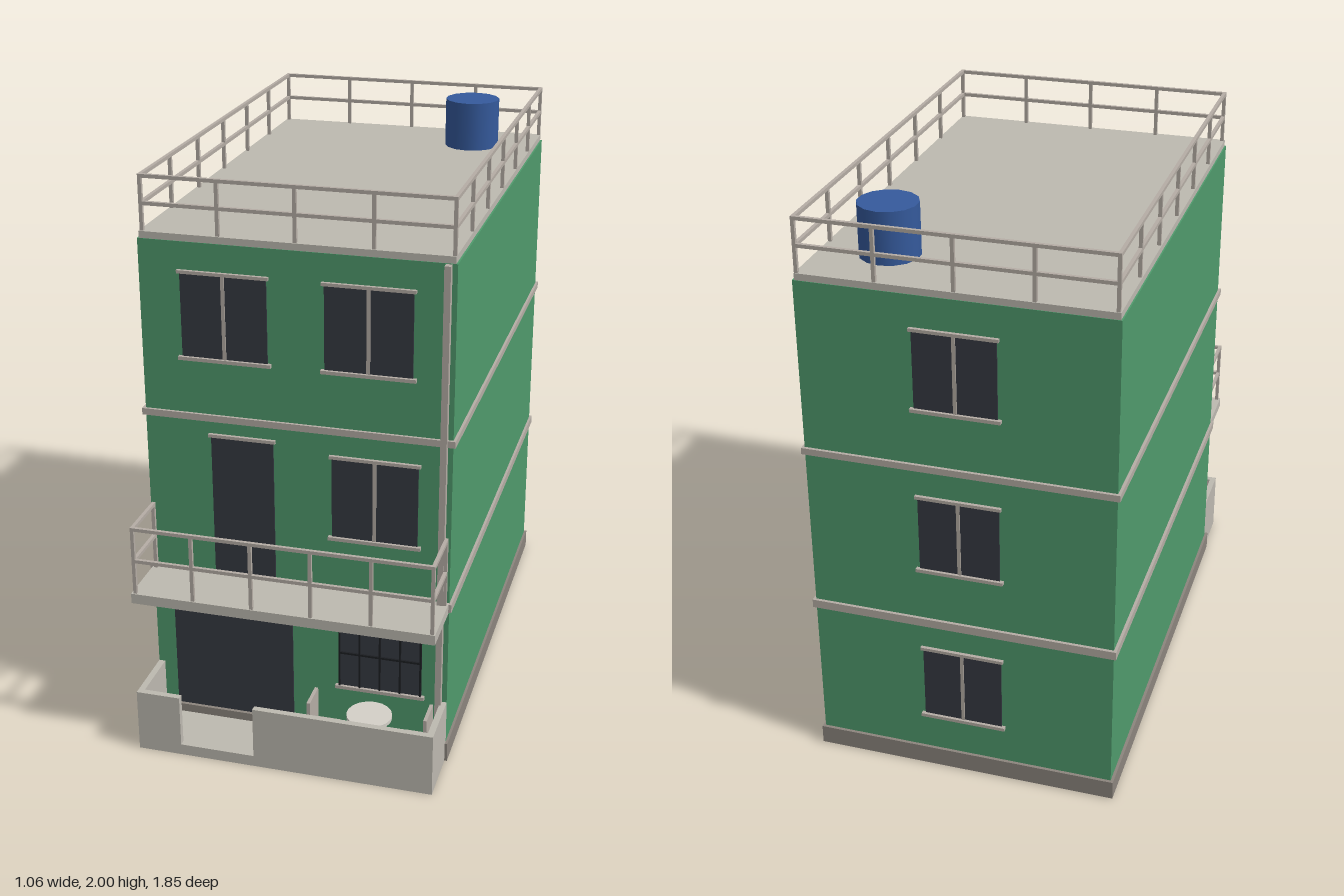
import * as THREE from 'three';

const mat = (name, color) => {
  const m = new THREE.MeshStandardMaterial({ color });
  m.name = name;
  return m;
};

export function createModel() {
  const green = mat('green wall', 0x4f9a6c);
  const concrete = mat('concrete', 0xbdb9b0);
  const trim = mat('trim', 0xb5ada5);
  const stone = mat('plinth stone', 0x8c857d);
  const glass = mat('dark glass', 0x363a42);
  const iron = mat('black iron', 0x1c1e22);
  const blue = mat('blue tank', 0x355a9c);
  const white = mat('table white', 0xd4d0c8);

  const model = new THREE.Group();
  model.name = 'house';
  const group = (name, parent = model) => {
    const g = new THREE.Group();
    g.name = name;
    parent.add(g);
    return g;
  };
  // box given by its limits on each axis
  const box = (name, m, [x0, x1], [y0, y1], [z0, z1], parent = model) => {
    const mesh = new THREE.Mesh(new THREE.BoxGeometry(x1 - x0, y1 - y0, z1 - z0), m);
    mesh.position.set((x0 + x1) / 2, (y0 + y1) / 2, (z0 + z1) / 2);
    mesh.name = name;
    parent.add(mesh);
    return mesh;
  };
  const cyl = (name, m, r, y0, y1, x, z, sides, parent = model) => {
    const mesh = new THREE.Mesh(new THREE.CylinderGeometry(r, r, y1 - y0, sides), m);
    mesh.position.set(x, (y0 + y1) / 2, z);
    mesh.name = name;
    parent.add(mesh);
    return mesh;
  };

  // main block, plinth, floor bands and roof
  const L = -0.525, R = 0.519, F = 0.71, B = -0.905;
  box('walls', green, [L, R], [0, 1.792], [B, F]);
  box('plinth', stone, [-0.535, 0.528], [0.002, 0.07], [-0.916, 0.727]);
  box('lowerBand', trim, [-0.535, 0.528], [0.583, 0.613], [-0.916, 0.72]);
  box('upperBand', trim, [-0.535, 0.528], [1.182, 1.205], [-0.916, 0.72]);
  box('roofSlab', concrete, [-0.52, 0.513], [1.788, 1.815], [B + 0.002, F - 0.002]);

  // openings: glass plate with lintel, and optional sill and mullion
  const opening = (name, x0, x1, y0, y1, { sill = true, mullion = true, back = false } = {}) => {
    const g = group(name);
    const s = back ? -1 : 1, w = back ? B : F;
    const depth = (d) => [w - 0.002 * s, w + d * s].sort((a, b) => a - b);
    box('pane', glass, [x0, x1], [y0, y1], depth(0.005), g);
    box('lintel', trim, [x0 - 0.008, x1 + 0.008], [y1 - 0.004, y1 + 0.007], depth(0.012), g);
    if (sill) box('sill', trim, [x0 - 0.012, x1 + 0.012], [y0 - 0.007, y0 + 0.005], depth(0.015), g);
    const c = (x0 + x1) / 2;
    if (mullion) box('mullion', trim, [c - 0.006, c + 0.006], [y0, y1], depth(0.009), g);
    return g;
  };
  opening('topLeftWindow', -0.385, -0.095, 1.4, 1.692);
  opening('topRightWindow', 0.095, 0.385, 1.4, 1.692);
  opening('middleWindow', 0.117, 0.408, 0.807, 1.1);
  opening('balconyDoor', -0.297, -0.082, 0.613, 1.13, { sill: false, mullion: false });
  opening('groundDoor', -0.455, -0.025, 0.07, 0.527, { sill: false, mullion: false });
  const barred = opening('groundWindow', 0.14, 0.43, 0.235, 0.503, { mullion: false });
  for (let i = 0; i < 5; i++) {
    const x = 0.143 + i * 0.071;
    box('windowBar', iron, [x - 0.003, x + 0.003], [0.235, 0.503], [F, F + 0.012], barred);
  }
  box('windowBar', iron, [0.14, 0.43], [0.367, 0.374], [F, F + 0.012], barred);
  for (const y of [0.212, 0.807, 1.402])
    opening('backWindow', -0.14, 0.135, y, y + 0.275, { back: true });

  // drainpipe on the front
  box('drainpipe', trim, [0.481, 0.502], [0.03, 1.79], [F, 0.734]);

  // railings: posts along a line, plus a middle and a top rail
  const t = 0.006;
  const railing = (name, [xa, za], [xb, zb], y0, y1, bays) => {
    const g = group(name);
    const span = (a, b) => [Math.min(a, b) - t, Math.max(a, b) + t];
    for (let i = 0; i <= bays; i++) {
      const x = xa + ((xb - xa) * i) / bays, z = za + ((zb - za) * i) / bays;
      box('post', trim, span(x, x), [y0, y1 - t], span(z, z), g);
    }
    const mid = (y0 + y1) / 2;
    for (const y of [mid, y1 - t])
      box('rail', trim, span(xa, xb), [y - t, y + t], span(za, zb), g);
  };
  const rl = -0.511, rr = 0.507, rf = 0.697, rb = -0.894;
  railing('roofRailingFront', [rl, rf], [rr, rf], 1.81, 2, 4);
  railing('roofRailingBack', [rl, rb], [rr, rb], 1.81, 2, 4);
  railing('roofRailingLeft', [rr, rf], [rr, rb], 1.81, 2, 6);
  railing('roofRailingRight', [rl, rf], [rl, rb], 1.81, 2, 6);

  // balcony
  box('balconySlab', concrete, [-0.524, 0.518], [0.578, 0.614], [F, 0.925]);
  railing('balconyRailingFront', [rl, 0.915], [rr, 0.915], 0.612, 0.86, 5);
  for (const x of [rl, rr])
    railing('balconyRailingSide', [x, 0.915], [x, 0.726], 0.612, 0.86, 1);

  // water tank
  cyl('waterTank', blue, 0.1, 1.812, 1.992, 0.284, -0.675, 14);

  // forecourt: floor and low walls with an entrance gap
  const yard = group('forecourt');
  const h = 0.227, w = 0.022;
  box('floor', concrete, [L, R], [0, 0.04], [F, 0.925], yard);
  box('frontWall', concrete, [L, -0.37], [0.04, h], [0.925 - w, 0.925], yard);
  box('frontWall', concrete, [-0.107, R], [0.04, h], [0.925 - w, 0.925], yard);
  box('sideWall', concrete, [L, L + w], [0.04, h], [F, 0.925 - w], yard);
  box('sideWall', concrete, [R - w, R], [0.04, h], [F, 0.925 - w], yard);

  // round table with two chairs
  const table = group('table');
  cyl('tableTop', white, 0.078, 0.195, 0.208, 0.275, 0.82, 18, table);
  cyl('tableLeg', trim, 0.012, 0.04, 0.195, 0.275, 0.82, 8, table);
  for (const s of [-1, 1]) {
    const chair = group('chair');
    const x = 0.277 + s * 0.16;
    box('seat', trim, [x - 0.045, x + 0.045], [0.12, 0.135], [0.77, 0.872], chair);
    const bx = x + s * 0.042;
    box('chairBack', trim, [bx - 0.006, bx + 0.006], [0.135, 0.25], [0.77, 0.872], chair);
    for (const dx of [-0.038, 0.038])
      for (const z of [0.778, 0.864])
        box('chairLeg', trim, [x + dx - 0.005, x + dx + 0.005], [0.04, 0.12], [z - 0.005, z + 0.005], chair);
  }
  return model;
}
